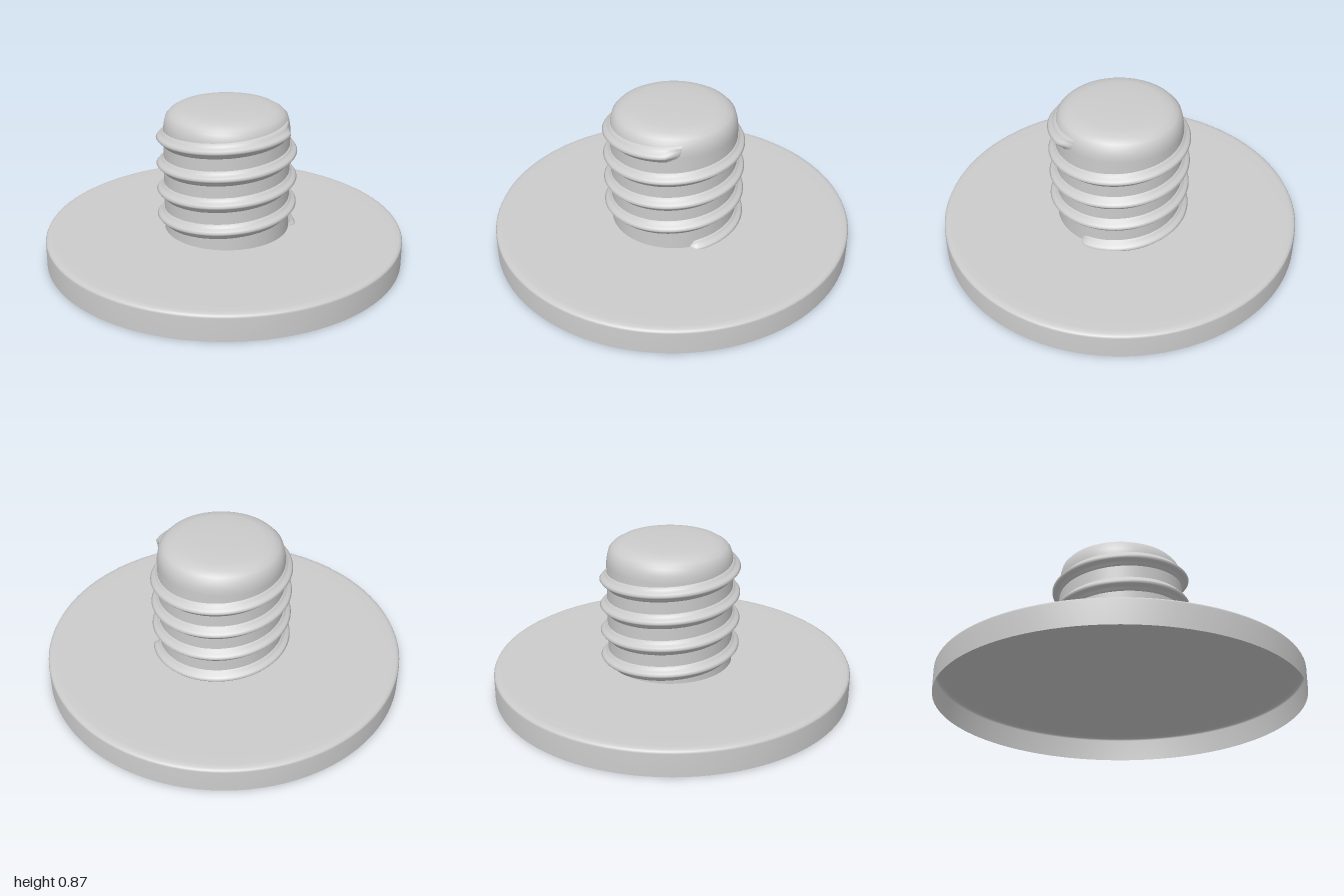
import * as THREE from 'three';

const CORE_R = 0.348, CORE_BOTTOM = 0.163;
const PITCH = 0.152;

function lathe(name, profile, material) {
  // profile runs from the bottom up to the axis
  const points = profile.map(([r, y]) => new THREE.Vector2(r, y));
  const mesh = new THREE.Mesh(new THREE.LatheGeometry(points, 96), material);
  mesh.name = name;
  return mesh;
}

// Helical ridge: a rounded cross-section swept down the core, faded out at the top
function threadGeometry() {
  const section = [[-0.05, -0.03], [-0.042, 0], [-0.028, 0.006], [-0.018, 0.018], [-0.011, 0.032],
    [0, 0.04], [0.011, 0.032], [0.018, 0.018], [0.028, 0.006], [0.042, 0], [0.05, -0.03]];
  const topAngle = -0.3, bottomAngle = 6 * Math.PI + 5.85;
  const steps = 320, n = section.length;
  const positions = [], index = [];
  for (let i = 0; i <= steps; i++) {
    const a = bottomAngle + (topAngle - bottomAngle) * (i / steps);
    const fade = Math.min(1, (a - topAngle) / 0.25, 0.1 + (bottomAngle - a) / 0.1);
    const midY = 0.755 - PITCH * a / (2 * Math.PI);
    for (const [dy, h] of section) {
      const r = CORE_R + (h > 0 ? h * fade : h) - (1 - fade) * 0.006;
      // the ridge is cut off flat at the foot of the core
      positions.push(r * Math.cos(a), Math.max(CORE_BOTTOM, midY + dy), r * Math.sin(a));
    }
  }
  for (let i = 0; i < steps; i++) {
    for (let j = 0; j < n - 1; j++) {
      const p = i * n + j, q = p + n;
      index.push(p, q, q + 1, p, q + 1, p + 1);
    }
  }
  const geometry = new THREE.BufferGeometry();
  geometry.setAttribute('position', new THREE.Float32BufferAttribute(positions, 3));
  geometry.setIndex(index);
  geometry.computeVertexNormals();
  return geometry;
}

export function createModel() {
  const material = new THREE.MeshStandardMaterial({ color: 0xcccccc, side: THREE.DoubleSide });
  const model = new THREE.Group();
  model.name = 'threadedStud';

  // Round base: a shallow shell, open underneath, with a softened rim
  model.add(lathe('baseDisc', [[1, 0], [1, 0.128], [0.995, 0.138], [0.983, 0.145],
    [0.96, 0.148], [0.88, 0.149], [0, 0.149]], material));

  // Threaded post, sitting slightly off the disc centre
  const post = new THREE.Group();
  post.name = 'threadedPost';
  post.position.set(0.01, 0, -0.012);
  post.add(lathe('postCore', [[CORE_R, CORE_BOTTOM], [CORE_R, 0.45], [CORE_R, 0.74], [0.343, 0.775],
    [0.334, 0.81], [0.314, 0.832], [0.282, 0.851], [0.23, 0.862], [0.13, 0.867], [0, 0.868]], material));
  const thread = new THREE.Mesh(threadGeometry(), material);
  thread.name = 'thread';
  post.add(thread);
  model.add(post);

  return model;
}
